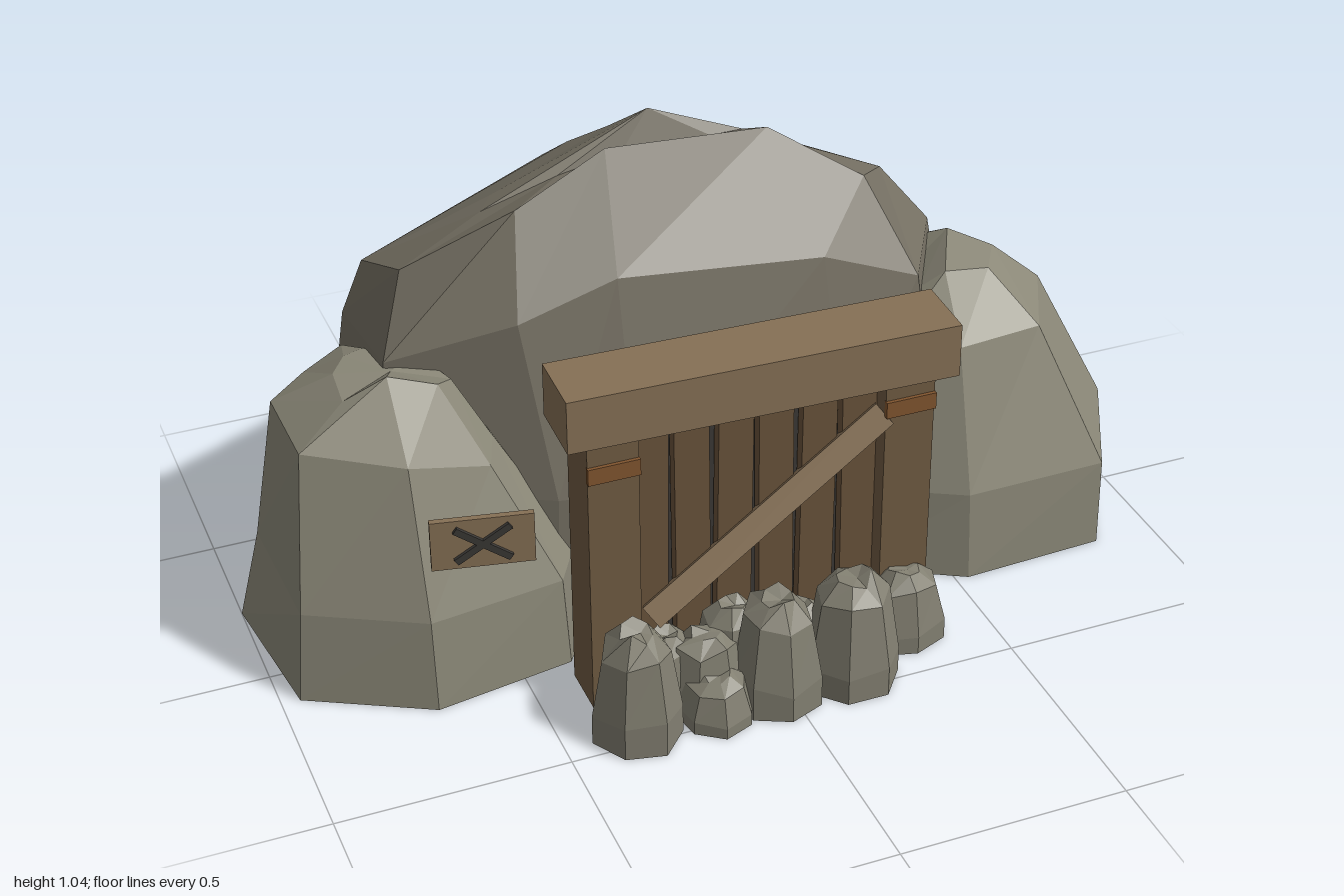
import * as THREE from 'three';

const mat = color => new THREE.MeshStandardMaterial({ color, flatShading: true });
const MOUNTAIN = mat(0x757063), BOULDER = mat(0x8b8878), STONE = mat(0x827f71);
const BEAM = mat(0x867055), POST = mat(0x705b42), PLANK = mat(0x68523a);
const BRACKET = mat(0x80552f), DARK = mat(0x3a3835);

// Closed faceted rock from stacked rings of [x, y, z] corners and a top point
function rock(name, rings, apex, material) {
  const n = rings[0].length, pos = [];
  const tri = (a, b, c) => pos.push(...a, ...b, ...c);
  const base = rings[0], top = rings[rings.length - 1];
  const centre = [0, 1, 2].map(k => base.reduce((s, p) => s + p[k], 0) / n);
  for (let i = 0; i < n; i++) {
    const j = (i + 1) % n;
    for (let r = 0; r < rings.length - 1; r++) {
      const lo = rings[r], hi = rings[r + 1];
      tri(lo[i], hi[i], lo[j]);
      tri(lo[j], hi[i], hi[j]);
    }
    tri(top[i], apex, top[j]);
    tri(base[i], base[j], centre);
  }
  const g = new THREE.BufferGeometry();
  g.setAttribute('position', new THREE.Float32BufferAttribute(pos, 3));
  g.computeVertexNormals();
  const m = new THREE.Mesh(g, material);
  m.name = name;
  return m;
}

const level = (y, pts) => pts.map(([x, z]) => [x, y, z]);

function box(name, size, at, material, rot = [0, 0, 0]) {
  const m = new THREE.Mesh(new THREE.BoxGeometry(...size), material);
  m.position.set(...at);
  m.rotation.set(...rot, 'ZYX');
  m.name = name;
  return m;
}

// Small seeded random source
function seeded(seed) {
  let s = seed * 7919 + 17;
  return () => (s = (s * 16807) % 2147483647) / 2147483647;
}

// Tall rubble stone with a blunt, chipped top
function smallStone(x, z, rx, rz, h, seed) {
  const rnd = seeded(seed), n = 7;
  const jitter = Array.from({ length: n }, () => 0.97 + rnd() * 0.1);
  const rings = [[0, 1], [0.25, 1], [0.78, 0.76], [0.93, 0.36]].map(([v, r]) =>
    jitter.map((k, i) => {
      const a = (i / n) * Math.PI * 2 + seed * 0.4;
      const y = v === 0 ? 0 : h * (v + (rnd() - 0.5) * 0.12);
      return [x + Math.cos(a) * rx * r * k, y, z + Math.sin(a) * rz * r * k];
    }));
  return rock('rubbleStone', rings, [x + rx * 0.1, h * 0.9, z], STONE);
}

export function createModel() {
  const model = new THREE.Group();
  model.name = 'boardedMineEntrance';

  // Main hill
  model.add(rock('hill', [
    level(0, [[-0.74, -0.42], [-0.2, -0.555], [0.52, -0.425], [0.68, -0.2], [0.55, 0.02], [0.28, 0.11], [-0.2, 0.12], [-0.38, 0.09], [-0.7, -0.08]]),
    level(0.34, [[-0.72, -0.42], [-0.2, -0.545], [0.51, -0.415], [0.67, -0.2], [0.53, 0.02], [0.28, 0.1], [-0.2, 0.11], [-0.37, 0.08], [-0.69, -0.09]]),
    [[-0.69, 0.62, -0.38], [-0.2, 0.86, -0.466], [0.4, 0.78, -0.385], [0.61, 0.67, -0.205], [0.48, 0.67, 0.02], [0.26, 0.76, 0.015], [-0.2, 0.8, 0.0], [-0.42, 0.74, 0.005], [-0.68, 0.65, -0.1]],
    [[-0.65, 0.76, -0.34], [-0.17, 0.925, -0.385], [0.27, 0.88, -0.34], [0.49, 0.82, -0.21], [0.4, 0.87, -0.1], [0.21, 0.982, -0.185], [-0.17, 1.025, -0.145], [-0.38, 0.94, -0.11], [-0.63, 0.855, -0.11]],
    [[-0.38, 0.89, -0.28], [-0.1, 0.98, -0.32], [0.08, 0.975, -0.3], [0.2, 0.94, -0.26], [0.18, 0.955, -0.245], [0.1, 0.96, -0.235], [-0.1, 0.96, -0.235], [-0.25, 0.94, -0.22], [-0.42, 0.89, -0.22]],
  ], [-0.03, 1.035, -0.265], MOUNTAIN));

  // Flanking boulders
  model.add(rock('rightBoulder', [
    level(0, [[-1, -0.24], [-0.87, -0.36], [-0.7, -0.42], [-0.42, -0.2], [-0.31, 0.06], [-0.39, 0.19], [-0.7, 0.24], [-0.96, 0.1]]),
    level(0.21, [[-0.95, -0.23], [-0.82, -0.31], [-0.7, -0.41], [-0.42, -0.19], [-0.33, 0.06], [-0.4, 0.18], [-0.7, 0.22], [-0.94, 0.09]]),
    [[-0.9, 0.55, -0.2], [-0.81, 0.56, -0.27], [-0.71, 0.57, -0.33], [-0.52, 0.55, -0.15], [-0.49, 0.5, 0.02], [-0.52, 0.48, 0.1], [-0.7, 0.53, 0.12], [-0.9, 0.56, 0.03]],
    [[-0.78, 0.63, -0.13], [-0.74, 0.63, -0.19], [-0.69, 0.62, -0.22], [-0.6, 0.64, -0.12], [-0.56, 0.63, -0.02], [-0.6, 0.65, 0.02], [-0.7, 0.68, 0.0], [-0.79, 0.63, -0.02]],
  ], [-0.67, 0.64, -0.08], BOULDER));
  model.add(rock('leftBoulder', [
    level(0, [[0.53, -0.42], [0.75, -0.28], [0.82, -0.19], [0.99, -0.06], [0.86, 0.22], [0.53, 0.235], [0.29, 0.1], [0.36, -0.15]]),
    level(0.21, [[0.53, -0.41], [0.75, -0.28], [0.81, -0.19], [1, -0.06], [0.86, 0.215], [0.53, 0.22], [0.31, 0.1], [0.38, -0.15]]),
    [[0.52, 0.565, -0.345], [0.63, 0.56, -0.29], [0.73, 0.52, -0.195], [0.83, 0.54, -0.08], [0.74, 0.53, 0.1], [0.54, 0.53, 0.12], [0.41, 0.53, 0.05], [0.46, 0.55, -0.15]],
    [[0.54, 0.59, -0.27], [0.59, 0.605, -0.25], [0.66, 0.57, -0.2], [0.71, 0.645, -0.08], [0.66, 0.64, 0.0], [0.55, 0.66, 0.01], [0.5, 0.62, -0.01], [0.52, 0.6, -0.12]],
  ], [0.63, 0.67, -0.145], BOULDER));

  // Timber door frame: lintel set at a slight turn
  const frame = new THREE.Group();
  frame.name = 'doorFrame';
  frame.position.set(-0.02, 0, 0.295);
  frame.add(box('lintel', [0.84, 0.12, 0.155], [0, 0.71, 0.003], BEAM, [0, -0.03, 0]));
  for (const s of [-1, 1]) {
    frame.add(box('post', [0.11, 0.65, 0.118], [s * 0.325, 0.325, 0], POST));
    frame.add(box('postBracket', [0.112, 0.038, 0.012], [s * 0.325, 0.583, 0.061], BRACKET));
  }
  frame.add(box('darkOpening', [0.56, 0.65, 0.02], [0, 0.325, -0.025], DARK));

  // Uneven door planks
  [0.62, 0.615, 0.61, 0.62, 0.61, 0.62].forEach((h, i) =>
    frame.add(box('plank', [0.077, h, 0.025], [-0.232 + i * 0.093, h / 2, 0.005],
      PLANK, [0, 0, (i % 2 ? 1 : -1) * 0.008])));

  // Diagonal brace, rolled so its underside shows
  frame.add(box('brace', [0.64, 0.055, 0.05], [0.02, 0.37, 0.034], BEAM, [-0.6, 0, 0.63]));
  model.add(frame);

  // Warning board with crossed strips
  const sign = new THREE.Group();
  sign.name = 'warningBoard';
  sign.position.set(-0.605, 0.448, 0.3);
  sign.rotation.y = -0.2;
  sign.add(box('board', [0.21, 0.115, 0.014], [0, 0, 0], BEAM));
  for (const s of [-1, 1])
    sign.add(box('crossStrip', [0.135, 0.015, 0.008], [0, 0, 0.011], DARK, [0, 0, s * 0.6]));
  model.add(sign);

  // Rubble heap before the door: x, z, half width, half depth, height
  [
    [-0.34, 0.455, 0.096, 0.098, 0.275], [-0.17, 0.47, 0.08, 0.082, 0.115],
    [-0.17, 0.41, 0.088, 0.08, 0.19], [-0.03, 0.455, 0.092, 0.098, 0.27],
    [0.14, 0.455, 0.104, 0.098, 0.28], [0.3, 0.368, 0.1, 0.075, 0.19],
    [-0.1, 0.38, 0.08, 0.07, 0.22], [0.05, 0.38, 0.08, 0.07, 0.17],
    [-0.25, 0.38, 0.08, 0.07, 0.18],
  ].forEach((s, i) => model.add(smallStone(...s, i + 1)));

  return model;
}
